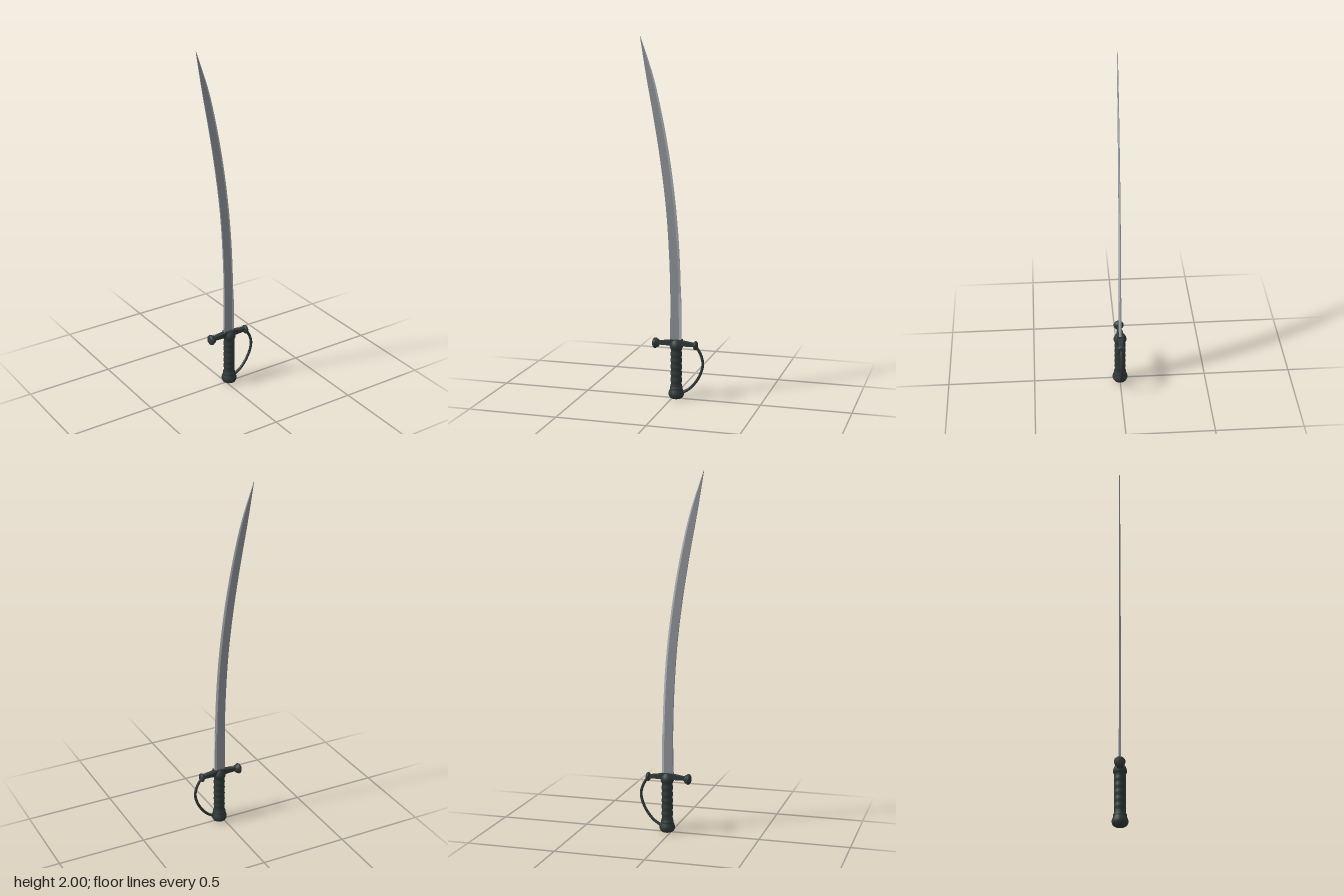
import * as THREE from 'three';

const CX = 0.022; // axis of the hilt

export function createModel() {
  const group = new THREE.Group();
  const mat = (name, color) => Object.assign(new THREE.MeshStandardMaterial({ color }), { name });
  const steel = mat('blade steel', 0x8c9197);
  const bright = mat('sharpened steel', 0xb2b6ba);
  const iron = mat('dark iron', 0x303938);
  const add = (name, geometry, material) => {
    const mesh = new THREE.Mesh(geometry, material);
    mesh.name = name;
    group.add(mesh);
    return mesh;
  };
  const lathe = (name, points, segments = 28) =>
    add(name, new THREE.LatheGeometry(points.map(([r, y]) => new THREE.Vector2(r, y)), segments), iron);

  // Blade: spine and cutting edge curves, lofted with a bevelled section
  const spine = new THREE.SplineCurve([
    [-0.012, 0.32], [-0.011, 0.6], [-0.02, 0.85], [-0.037, 1.08], [-0.067, 1.32],
    [-0.104, 1.55], [-0.146, 1.78], [-0.182, 2.0]].map(p => new THREE.Vector2(...p)));
  const edge = new THREE.SplineCurve([
    [0.051, 0.32], [0.048, 0.6], [0.038, 0.85], [0.019, 1.08], [-0.012, 1.32],
    [-0.053, 1.55], [-0.107, 1.78], [-0.182, 2.0]].map(p => new THREE.Vector2(...p)));
  const N = 56, rings = [];
  for (let i = 0; i <= N; i++) {
    const t = i / N, a = spine.getPoint(t), b = edge.getPoint(t);
    const thick = 0.0065 * (1 - 0.6 * t) * (i === N ? 0 : 1);
    // blunt near the hilt, sharp along the rest
    const sharp = a.y < 0.6 ? thick * 0.95 : Math.min(thick, 0.0008);
    const m = a.clone().lerp(b, 0.8);
    rings.push([[a, -thick], [m, -thick], [b, -sharp], [b, sharp], [m, thick], [a, thick]]
      .map(([p, z]) => [p.x, p.y, z]));
  }
  // one mesh per set of section sides: flats and spine, then the cutting bevel
  const bladePart = (name, sides, material) => {
    const verts = [];
    for (let i = 0; i < N; i++) {
      for (const j of sides) {
        const k = (j + 1) % 6;
        const a = rings[i][j], b = rings[i][k], c = rings[i + 1][k], d = rings[i + 1][j];
        verts.push(...a, ...d, ...c, ...a, ...c, ...b);
      }
    }
    const geo = new THREE.BufferGeometry();
    geo.setAttribute('position', new THREE.Float32BufferAttribute(verts, 3));
    geo.computeVertexNormals();
    add(name, geo, material);
  };
  bladePart('blade', [0, 4, 5], steel);
  bladePart('cuttingEdge', [1, 2, 3], bright);

  // Pommel with a rounded cap and neck ring
  lathe('pommel', [[0, 0], [0.026, 0], [0.037, 0.007], [0.043, 0.02], [0.043, 0.032],
    [0.039, 0.046], [0.035, 0.052], [0.036, 0.058], [0.035, 0.066], [0.03, 0.072], [0, 0.072]])
    .position.x = CX;

  // Grip with shallow wrapped ridges
  const gripProfile = [];
  for (let i = 0; i <= 56; i++) {
    const t = i / 56;
    gripProfile.push([0.031 + 0.001 * Math.cos(t * Math.PI * 12), 0.068 + 0.222 * t]);
  }
  lathe('grip', gripProfile).position.x = CX;

  // Domed collar where the cross guard meets the grip
  lathe('collar', [[0, 0.284], [0.032, 0.284], [0.036, 0.291], [0.037, 0.304], [0.034, 0.313],
    [0.029, 0.324], [0.022, 0.333], [0.014, 0.337], [0, 0.338]]).position.x = CX;

  // Block across the collar that holds the blade
  add('guardBlock', new THREE.BoxGeometry(0.064, 0.036, 0.038), iron).position.set(CX, 0.318, 0);

  // Cross guard: tapered arms
  const arm = (name, x0, x1, h1, d1) => {
    const geo = new THREE.BoxGeometry(1, 1, 1, 6, 1, 1);
    const p = geo.attributes.position;
    for (let i = 0; i < p.count; i++) {
      const t = p.getX(i) + 0.5;
      const s = x1 > x0 ? t : 1 - t;
      p.setXYZ(i, Math.min(x0, x1) + t * Math.abs(x1 - x0),
        THREE.MathUtils.lerp(0.318, 0.31, s) + p.getY(i) * THREE.MathUtils.lerp(0.032, h1, s),
        p.getZ(i) * THREE.MathUtils.lerp(0.036, d1, s));
    }
    geo.computeVertexNormals();
    add(name, geo, iron);
  };
  arm('rightGuardArm', CX, -0.098, 0.018, 0.018);
  arm('leftGuardArm', CX, 0.13, 0.018, 0.02);

  // Finials at the ends of the guard, turned about the x axis
  const finial = (name, x, profile) => {
    const mesh = lathe(name, profile, 24);
    mesh.rotation.z = -Math.PI / 2;
    mesh.position.set(x, 0.308, 0);
  };
  finial('rightFinial', -0.1, [[0, -0.013], [0.02, -0.012], [0.027, -0.007], [0.03, 0],
    [0.028, 0.007], [0.023, 0.011], [0.023, 0.018], [0.017, 0.022], [0, 0.022]]);
  finial('leftFinial', 0.132, [[0, -0.01], [0.018, -0.01], [0.024, -0.005], [0.025, 0],
    [0.024, 0.005], [0.018, 0.01], [0, 0.01]]);

  // Knuckle bow from the left finial round to the pommel
  const bow = new THREE.CatmullRomCurve3([[0.128, 0.308], [0.147, 0.285], [0.167, 0.245], [0.174, 0.205],
    [0.163, 0.155], [0.135, 0.102], [0.098, 0.06], [0.05, 0.03]]
    .map(([x, y]) => new THREE.Vector3(x, y, 0)));
  add('knuckleBow', new THREE.TubeGeometry(bow, 48, 0.0078, 10), iron);

  return group;
}
